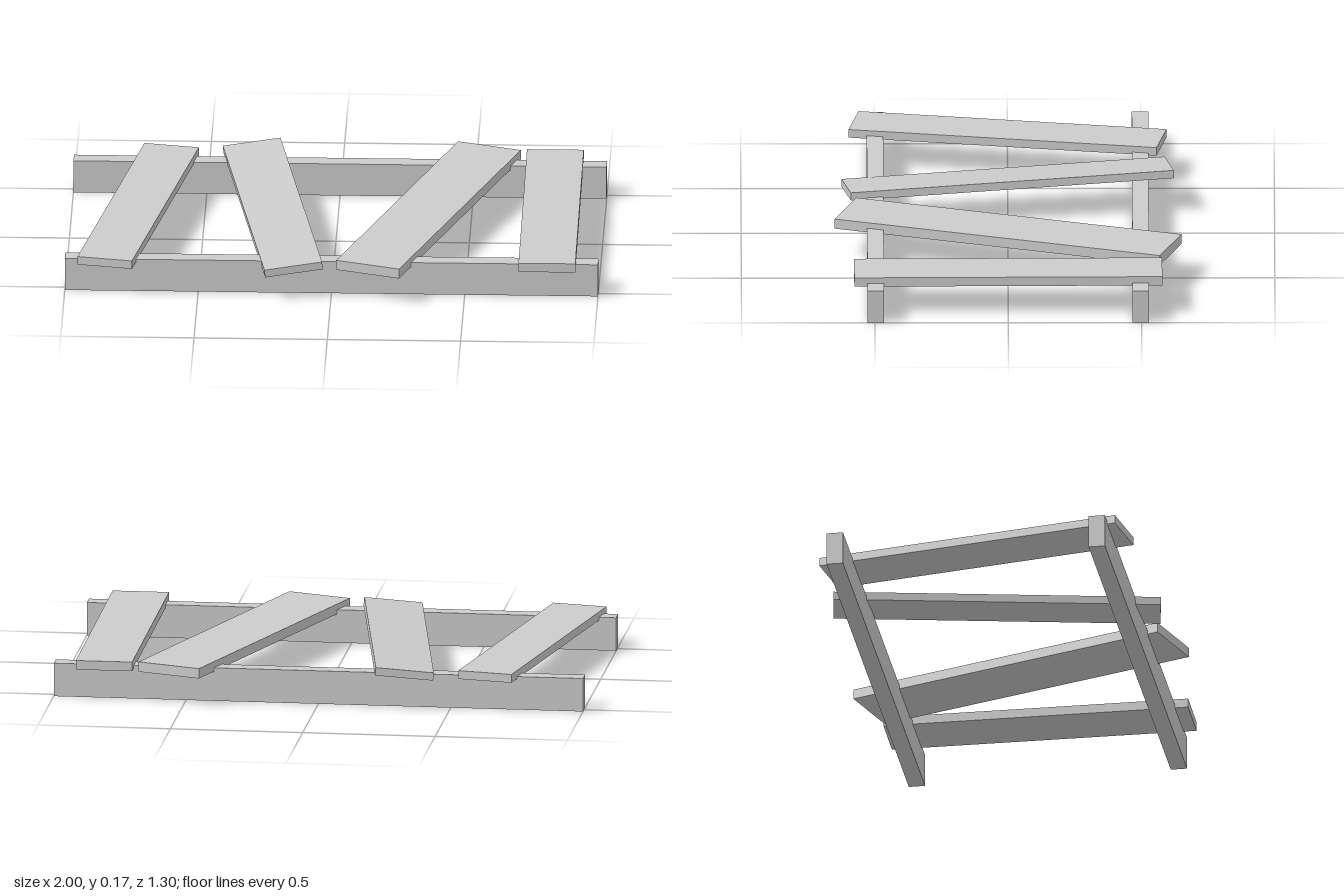
import * as THREE from 'three';

const material = new THREE.MeshStandardMaterial({ color: 0xcccccc, flatShading: true });

function board(name, [w, h, d], [x, y, z]) {
  const mesh = new THREE.Mesh(new THREE.BoxGeometry(w, h, d), material);
  mesh.name = name;
  mesh.position.set(x, y, z);
  return mesh;
}

export function createModel() {
  const group = new THREE.Group();
  group.name = 'brokenPallet';

  // Two long rails standing on edge
  for (const side of [1, -1]) {
    group.add(board(side > 0 ? 'frontRail' : 'backRail', [2, 0.127, 0.062], [0, 0.0635, side * 0.497]));
  }

  // Loose planks laid across the rails, each slightly askew
  const planks = [
    { x: -0.742, y: 0.133, size: [0.209, 0.032, 1.174], yaw: -0.183, pitch: 0.003, roll: 0 },
    { x: -0.237, y: 0.133, size: [0.219, 0.03, 1.227], yaw: 0.16, pitch: 0.0155, roll: 0.1 },
    { x: 0.347, y: 0.131, size: [0.252, 0.038, 1.288], yaw: -0.33, pitch: 0.002, roll: 0 },
    { x: 0.807, y: 0.133, size: [0.213, 0.035, 1.155], yaw: 0.005, pitch: 0.002, roll: 0 },
  ];
  planks.forEach((p, i) => {
    const plank = board(`plank${i + 1}`, p.size, [p.x, p.y, 0]);
    plank.rotation.set(p.pitch, p.yaw, p.roll, 'YXZ');
    group.add(plank);
  });

  return group;
}
